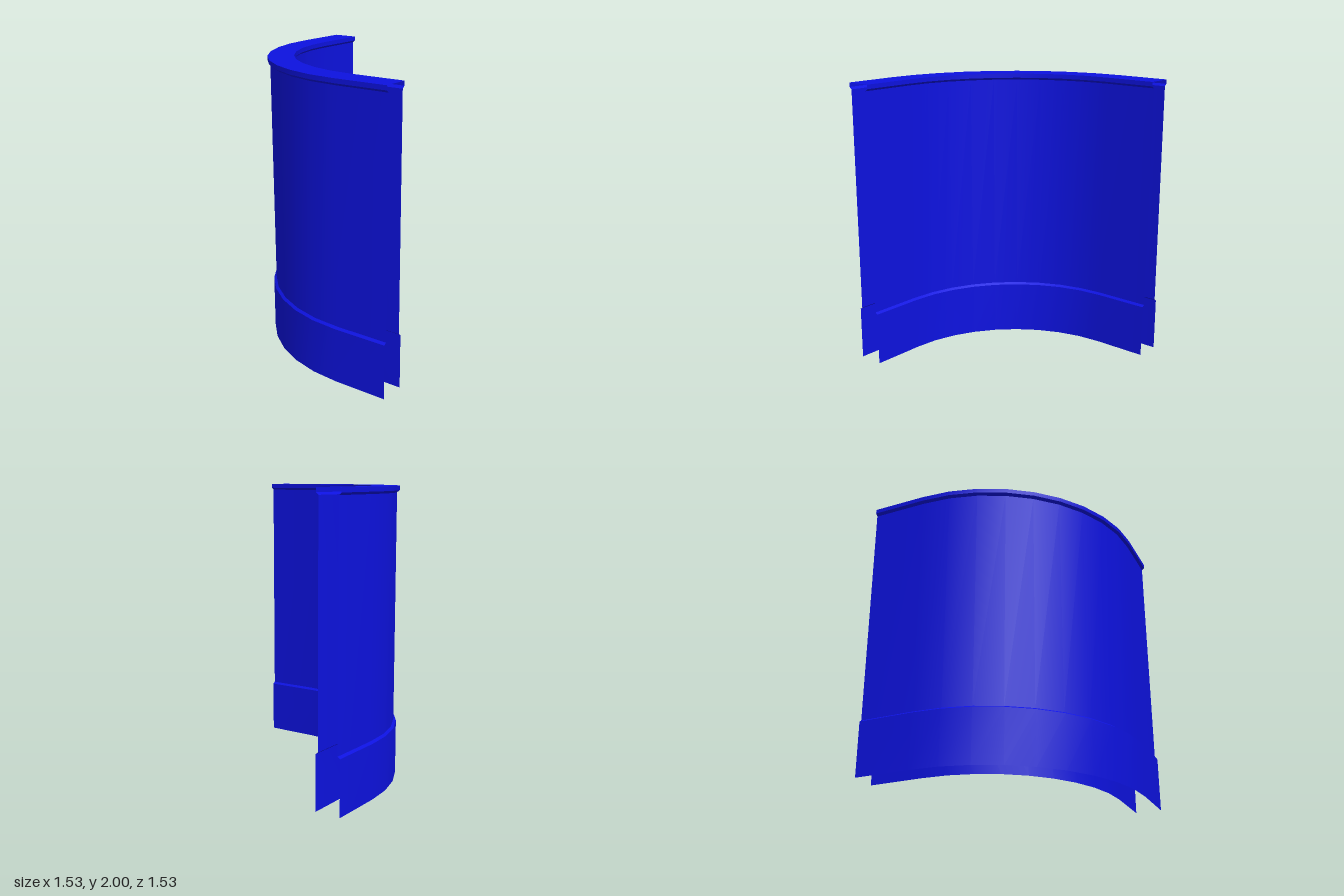
import * as THREE from 'three';

const material = new THREE.MeshStandardMaterial({ color: 0x0d12e0, side: THREE.DoubleSide });

const CENTRE = 0.38;  // centre of the quarter bend in x and z
const END = 0.763;    // where the straight ends stop
const STEPS = 9;      // segments in the bend

// Plan of the wall at radius r: straight run, quarter bend, straight run
function plan(r) {
  const points = [[CENTRE - r, END]];
  for (let i = 0; i <= STEPS; i++) {
    const a = (i / STEPS) * Math.PI / 2;
    points.push([CENTRE - r * Math.cos(a), CENTRE - r * Math.sin(a)]);
  }
  points.push([END, CENTRE - r]);
  return points;
}

// Ribbon swept along the plan between two profile points [radius, height]
function band(name, [r0, y0], [r1, y1]) {
  const lower = plan(r0), upper = plan(r1);
  const positions = [], index = [];
  lower.forEach(([x, z], i) => {
    positions.push(x, y0, z, upper[i][0], y1, upper[i][1]);
    if (i > 0) {
      const a = 2 * (i - 1);
      index.push(a, a + 1, a + 2, a + 1, a + 3, a + 2);
    }
  });
  const geometry = new THREE.BufferGeometry();
  geometry.setAttribute('position', new THREE.Float32BufferAttribute(positions, 3));
  geometry.setIndex(index);
  geometry.computeVertexNormals();
  const mesh = new THREE.Mesh(geometry, material);
  mesh.name = name;
  return mesh;
}

export function createModel() {
  const group = new THREE.Group();
  group.name = 'curvedWall';

  // Hollow section: up the outer side, over the top, down the inner side
  const OUTER = 1.145, INNER = 0.965, STEP = 0.018;
  const side = [[0, 0], [0, 0.375], [STEP, 0.388], [STEP, 1.955], [0, 1.97], [0, 2]];
  const names = ['Skirting', 'SkirtingLedge', 'WallFace', 'CorniceUnderside', 'CorniceEdge'];
  const outer = side.map(([d, y]) => [OUTER - d, y]);
  const inner = side.map(([d, y]) => [INNER + d, y]);

  names.forEach((name, i) => {
    group.add(band('outer' + name, outer[i], outer[i + 1]));
    group.add(band('inner' + name, inner[i + 1], inner[i]));
  });

  // Flat coping; the ends and the underside stay open
  group.add(band('topCoping', outer[5], inner[5]));
  return group;
}
